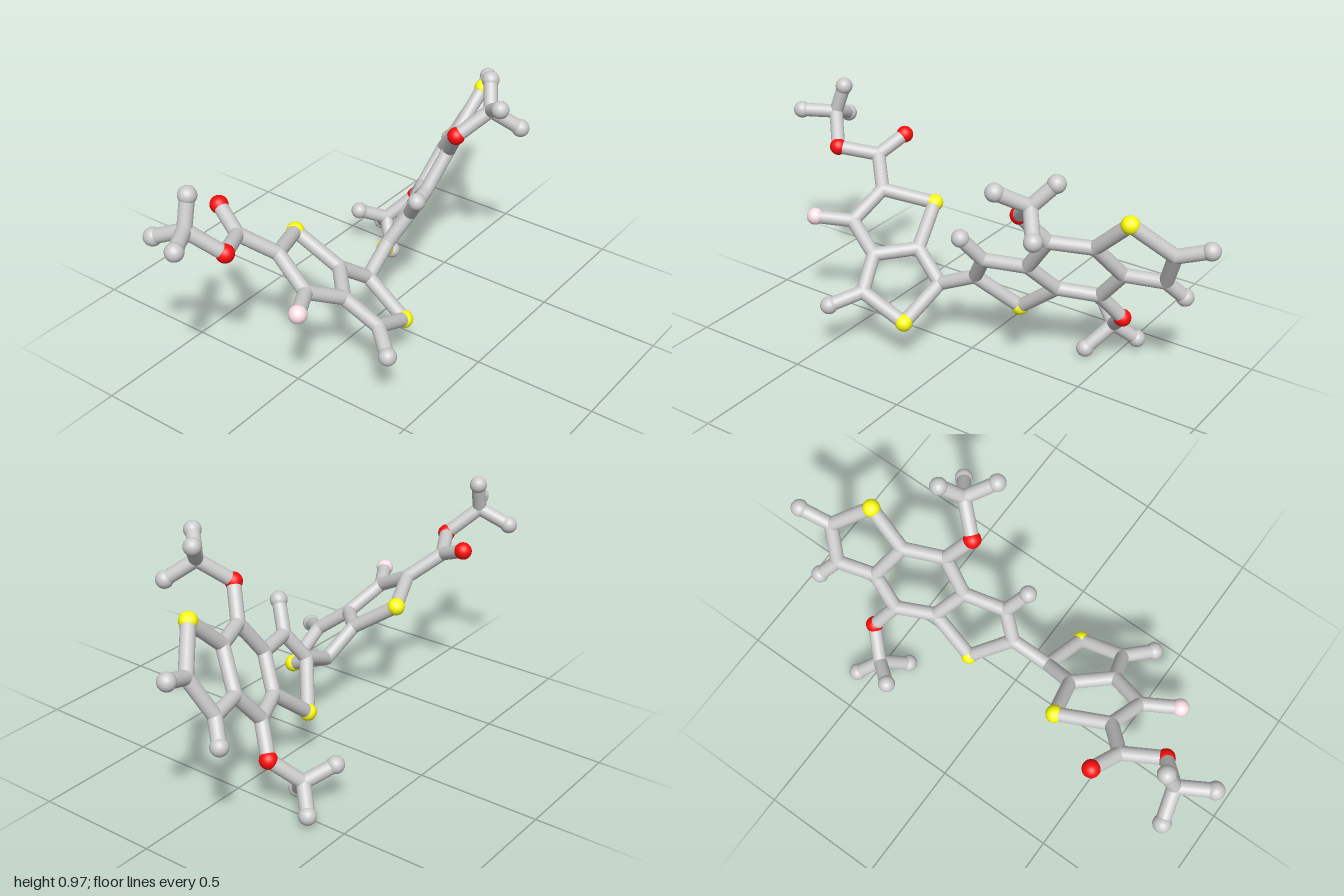
import * as THREE from 'three';

const BALL = 0.035, STICK = 0.028;

// Joints of the fused-ring frame: [x, y, z]
const joints = {
  // short arm at the far right end of the model
  esterC: [-0.6, 0.645, -0.178], esterO: [-0.75, 0.67, -0.1], carbonylO: [-0.555, 0.703, -0.302],
  methyl: [-0.84, 0.775, -0.2], methylA: [-0.8, 0.893, -0.212], methylB: [-0.965, 0.778, -0.128], methylC: [-0.875, 0.72, -0.323],
  // small pair of five-sided rings
  a1: [-0.5, 0.55, -0.075], aS: [-0.298, 0.512, -0.16], a2: [-0.535, 0.46, 0.08], aF: [-0.67, 0.472, 0.155],
  a3: [-0.385, 0.375, 0.138], a4: [-0.253, 0.39, 0.015], a5: [-0.343, 0.275, 0.265], a5tip: [-0.43, 0.235, 0.372],
  bS: [-0.153, 0.19, 0.25], b1: [-0.12, 0.288, 0.053],
  // three-ring plate
  c1: [0.037, 0.36, 0.033], cS: [0.175, 0.217, -0.082], c2: [0.11, 0.478, 0.085], c2tip: [0.053, 0.583, 0.156],
  d1: [0.283, 0.483, 0.042], d2: [0.355, 0.365, -0.06], d3: [0.508, 0.352, -0.127],
  d4: [0.617, 0.487, -0.1], d5: [0.552, 0.628, 0.01], d6: [0.39, 0.633, 0.075],
  eS: [0.702, 0.773, 0.03], e1: [0.836, 0.642, -0.075], e1tip: [0.96, 0.687, -0.105],
  e2: [0.773, 0.487, -0.143], e2tip: [0.825, 0.41, -0.206],
  // upper and lower side arms
  upO: [0.316, 0.755, 0.156], up: [0.418, 0.852, 0.245], upA: [0.33, 0.92, 0.34], upB: [0.492, 0.94, 0.193], upC: [0.492, 0.773, 0.34],
  lowO: [0.567, 0.235, -0.207], low: [0.48, 0.133, -0.298], lowA: [0.383, 0.188, -0.372], lowB: [0.404, 0.037, -0.212], lowC: [0.55, 0.053, -0.372],
};

// Chains of joints connected by sticks
const chains = [
  'methylA methyl methylB', 'methylC methyl esterO esterC carbonylO', 'esterC a1',
  'a1 aS a4 a3 a2 a1', 'a2 aF', 'a3 a5 bS b1 a4', 'a5 a5tip', 'b1 c1',
  'c1 cS d2 d1 c2 c1', 'c2 c2tip', 'd2 d3 d4 d5 d6 d1', 'd5 eS e1 e2 d4', 'e1 e1tip', 'e2 e2tip',
  'd6 upO up upA', 'upB up upC', 'd3 lowO low lowA', 'lowB low lowC',
];

export function createModel() {
  const model = new THREE.Group();
  const paint = (color) => new THREE.MeshStandardMaterial({ color });
  const grey = paint(0xcccccc), red = paint(0xff0d0d), yellow = paint(0xffff0d), pink = paint(0xffe0e6);
  const ball = new THREE.SphereGeometry(BALL, 24, 16);
  const knuckle = new THREE.SphereGeometry(STICK, 20, 14);
  const stick = new THREE.CylinderGeometry(STICK, STICK, 1, 20, 1, true);
  const up = new THREE.Vector3(0, 1, 0);
  const at = (key) => new THREE.Vector3(...joints[key]);

  // Sticks, counting how many meet at each joint
  const sticks = new THREE.Group();
  sticks.name = 'sticks';
  const count = {};
  for (const chain of chains) {
    const keys = chain.split(' ');
    for (let i = 1; i < keys.length; i++) {
      const a = at(keys[i - 1]), b = at(keys[i]), d = b.clone().sub(a);
      const mesh = new THREE.Mesh(stick, grey);
      mesh.name = 'stick';
      mesh.scale.y = d.length();
      mesh.position.copy(a).lerp(b, 0.5);
      mesh.quaternion.setFromUnitVectors(up, d.normalize());
      sticks.add(mesh);
      for (const k of [keys[i - 1], keys[i]]) count[k] = (count[k] || 0) + 1;
    }
  }

  // Coloured balls, grey end balls, and flush knuckles at the inner joints
  const balls = new THREE.Group();
  balls.name = 'balls';
  for (const key of Object.keys(joints)) {
    const [name, material] = key.endsWith('O') ? ['redBall', red]
      : key.endsWith('S') ? ['yellowBall', yellow]
      : key.endsWith('F') ? ['pinkBall', pink]
      : [count[key] === 1 ? 'endBall' : 'knuckle', grey];
    const mesh = new THREE.Mesh(name === 'knuckle' ? knuckle : ball, material);
    mesh.name = name;
    mesh.position.copy(at(key));
    balls.add(mesh);
  }

  model.add(sticks, balls);
  return model;
}
